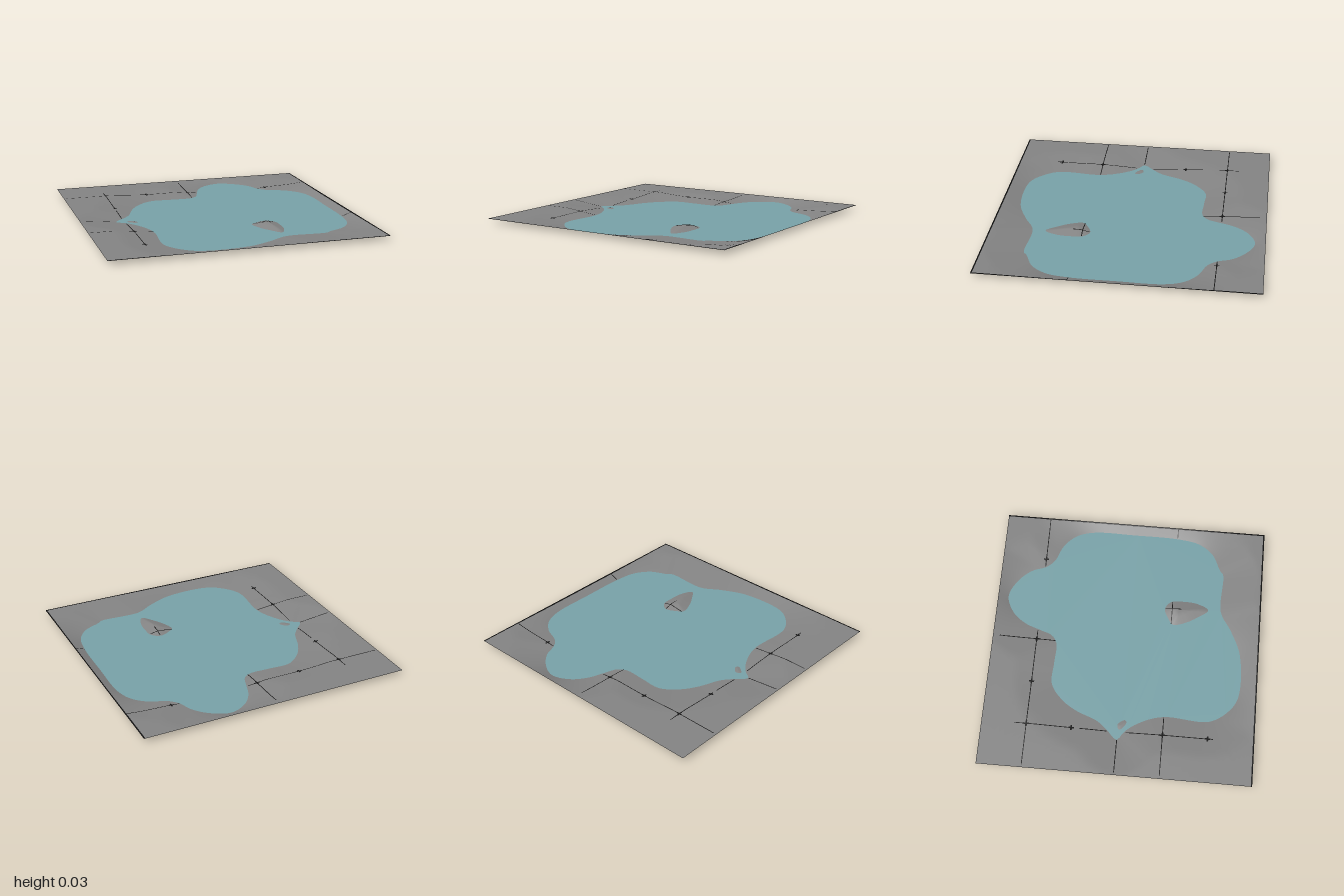
import * as THREE from 'three';

const RISE = 0.03; // height of the land above the water
const CENTRE = [0.25, 0];

// outlines as x, z points, running clockwise seen from above
const SHORE = [
  [-0.73, 0], [-0.66, -0.08], [-0.6, -0.155], [-0.535, -0.315], [-0.46, -0.43], [-0.34, -0.52],
  [-0.18, -0.52], [-0.02, -0.52], [0.04, -0.56], [0.075, -0.65], [0.12, -0.77], [0.2, -0.87],
  [0.33, -0.925], [0.46, -0.87], [0.555, -0.77], [0.6, -0.66], [0.66, -0.6], [0.78, -0.55],
  [0.875, -0.46], [0.92, -0.33], [0.925, 0], [0.92, 0.34], [0.89, 0.5], [0.81, 0.61],
  [0.68, 0.675], [0.65, 0.7], [0.34, 0.7], [0.19, 0.785], [0, 0.863], [-0.34, 0.865],
  [-0.46, 0.785], [-0.535, 0.66], [-0.525, 0.35], [-0.55, 0.235], [-0.62, 0.1], [-0.675, 0.04],
];
const ISLAND = [
  [0.205, 0.345], [0.245, 0.31], [0.33, 0.275], [0.39, 0.32], [0.4, 0.41],
  [0.39, 0.52], [0.345, 0.605], [0.29, 0.54], [0.235, 0.45],
];
const ISLET = [[-0.65, 0.01], [-0.615, -0.005], [-0.575, 0.045], [-0.59, 0.06], [-0.635, 0.035]];

function smoothLoop(points, count) {
  const curve = new THREE.CatmullRomCurve3(points.map(([x, z]) => new THREE.Vector3(x, 0, z)), true);
  return curve.getSpacedPoints(count).slice(0, count).map((p) => [p.x, p.z]);
}

function distanceTo(loop, x, z) {
  let best = Infinity;
  loop.forEach(([ax, az], i) => {
    const [bx, bz] = loop[(i + 1) % loop.length];
    const dx = bx - ax, dz = bz - az;
    const t = THREE.MathUtils.clamp(((x - ax) * dx + (z - az) * dz) / (dx * dx + dz * dz), 0, 1);
    best = Math.min(best, Math.hypot(x - ax - t * dx, z - az - t * dz));
  });
  return best;
}

// skin between two matching loops, with heights from a rule
function loft(inner, outer, rows, heightAt) {
  const n = inner.length, pos = [], index = [];
  for (let r = 0; r <= rows; r++) {
    const t = r / rows;
    for (let i = 0; i < n; i++) {
      const x = inner[i][0] + (outer[i][0] - inner[i][0]) * t;
      const z = inner[i][1] + (outer[i][1] - inner[i][1]) * t;
      pos.push(x, heightAt(x, z), z);
      if (r === rows) continue;
      const a = r * n + i, b = r * n + (i + 1) % n;
      index.push(a, b, b + n, a, b + n, a + n);
    }
  }
  const geo = new THREE.BufferGeometry();
  geo.setAttribute('position', new THREE.Float32BufferAttribute(pos, 3));
  geo.setIndex(index);
  geo.computeVertexNormals();
  return geo;
}

// push shore points outward to the edge of the square, keeping its corners
function squareBorder(loop) {
  const border = loop.map(([x, z]) => {
    const dx = x - CENTRE[0], dz = z - CENTRE[1];
    const k = Math.min((Math.sign(dx) - CENTRE[0]) / dx || Infinity, (Math.sign(dz) - CENTRE[1]) / dz || Infinity);
    return [CENTRE[0] + dx * k, CENTRE[1] + dz * k];
  });
  for (const cx of [-1, 1]) for (const cz of [-1, 1]) {
    let near = 0;
    border.forEach((p, i) => {
      if (Math.hypot(p[0] - cx, p[1] - cz) < Math.hypot(border[near][0] - cx, border[near][1] - cz)) near = i;
    });
    border[near] = [cx, cz];
  }
  return border;
}

// thin strip draped over the land along x or z
function strip(x1, z1, x2, z2, width, heightAt) {
  const alongX = z1 === z2;
  const length = alongX ? x2 - x1 : z2 - z1;
  const geo = alongX
    ? new THREE.PlaneGeometry(length, width, 24, 1)
    : new THREE.PlaneGeometry(width, length, 1, 24);
  geo.rotateX(-Math.PI / 2).translate((x1 + x2) / 2, 0, (z1 + z2) / 2);
  const p = geo.attributes.position;
  for (let i = 0; i < p.count; i++) p.setY(i, heightAt(p.getX(i), p.getZ(i)) + 0.0012);
  geo.computeVertexNormals();
  return geo;
}

export function createModel() {
  const model = new THREE.Group();
  const material = (name, color) => new THREE.MeshStandardMaterial({ name, color, side: THREE.DoubleSide });
  const stone = material('grey ground', 0x848484);
  const blue = material('blue water', 0x78a2a8);
  const dark = material('dark seam', 0x151515);
  const add = (name, geo, mat) => {
    const mesh = new THREE.Mesh(geo, mat);
    mesh.name = name;
    model.add(mesh);
  };

  const shore = smoothLoop(SHORE, 200);
  const island = smoothLoop(ISLAND, 48);
  const islet = smoothLoop(ISLET, 24);

  // land: banks climb from the water and level out at the border
  const landHeight = (x, z) => {
    const d = distanceTo(shore, x, z);
    const b = Math.max(0, 1 - Math.max(Math.abs(x), Math.abs(z)));
    return RISE * Math.min(1, Math.max(d / 0.27, d / (d + b)));
  };
  add('ground', loft(shore, squareBorder(shore), 14, landHeight), stone);

  // islands: low mounds inside the pond
  const moundHeight = (loop, reach, rise) => (x, z) => rise * Math.min(1, distanceTo(loop, x, z) / reach);
  const islandHeight = moundHeight(island, 0.075, 0.02);
  const mound = (loop, peak, heightAt) => {
    const ring = [...loop].reverse();
    return loft(ring, ring.map(() => peak), 6, heightAt);
  };
  add('island', mound(island, [0.325, 0.38], islandHeight), stone);
  add('islet', mound(islet, [-0.61, 0.028], moundHeight(islet, 0.03, 0.004)), stone);

  // water: flat sheet with openings for the islands
  const outline = (loop) => loop.map(([x, z]) => new THREE.Vector2(x, -z));
  const pond = new THREE.Shape(outline(shore));
  pond.holes = [island, islet].map((loop) => new THREE.Path(outline(loop)));
  add('water', new THREE.ShapeGeometry(pond).rotateX(-Math.PI / 2), blue);

  // seams between the ground tiles
  const seams = [
    [-0.98, -0.67, 0.07, -0.67], [0.6, -0.67, 1, -0.67], [-0.98, 0, -0.73, 0],
    [-0.98, 0.33, -0.53, 0.33], [0.925, 0.33, 1, 0.33], [-0.67, -0.76, -0.67, -0.34],
    [-0.67, -0.28, -0.67, -0.08], [-0.67, 0.06, -0.67, 0.7], [0, -0.95, 0, -0.53],
  ];
  seams.forEach((s) => add('groundSeam', strip(...s, 0.006, landHeight), dark));
  add('islandSeam', strip(0.21, 0.33, 0.39, 0.33, 0.006, islandHeight), dark);
  add('islandSeam', strip(0.33, 0.28, 0.33, 0.4, 0.006, islandHeight), dark);

  // small cross marks where tile corners meet
  for (const [x, z] of [[-0.67, -0.67], [-0.34, -0.67], [0, -0.67], [0.66, -0.67], [-0.67, -0.34], [-0.67, 0.33], [-0.67, 0.66]]) {
    add('cornerMark', strip(x - 0.02, z, x + 0.02, z, 0.012, landHeight), dark);
    add('cornerMark', strip(x, z - 0.02, x, z + 0.02, 0.012, landHeight), dark);
  }

  // dark edges on the left and front sides
  add('leftEdge', strip(0.995, -1, 0.995, 1, 0.01, landHeight), dark);
  add('frontEdge', strip(-1, 0.995, 1, 0.995, 0.01, landHeight), dark);
  return model;
}
